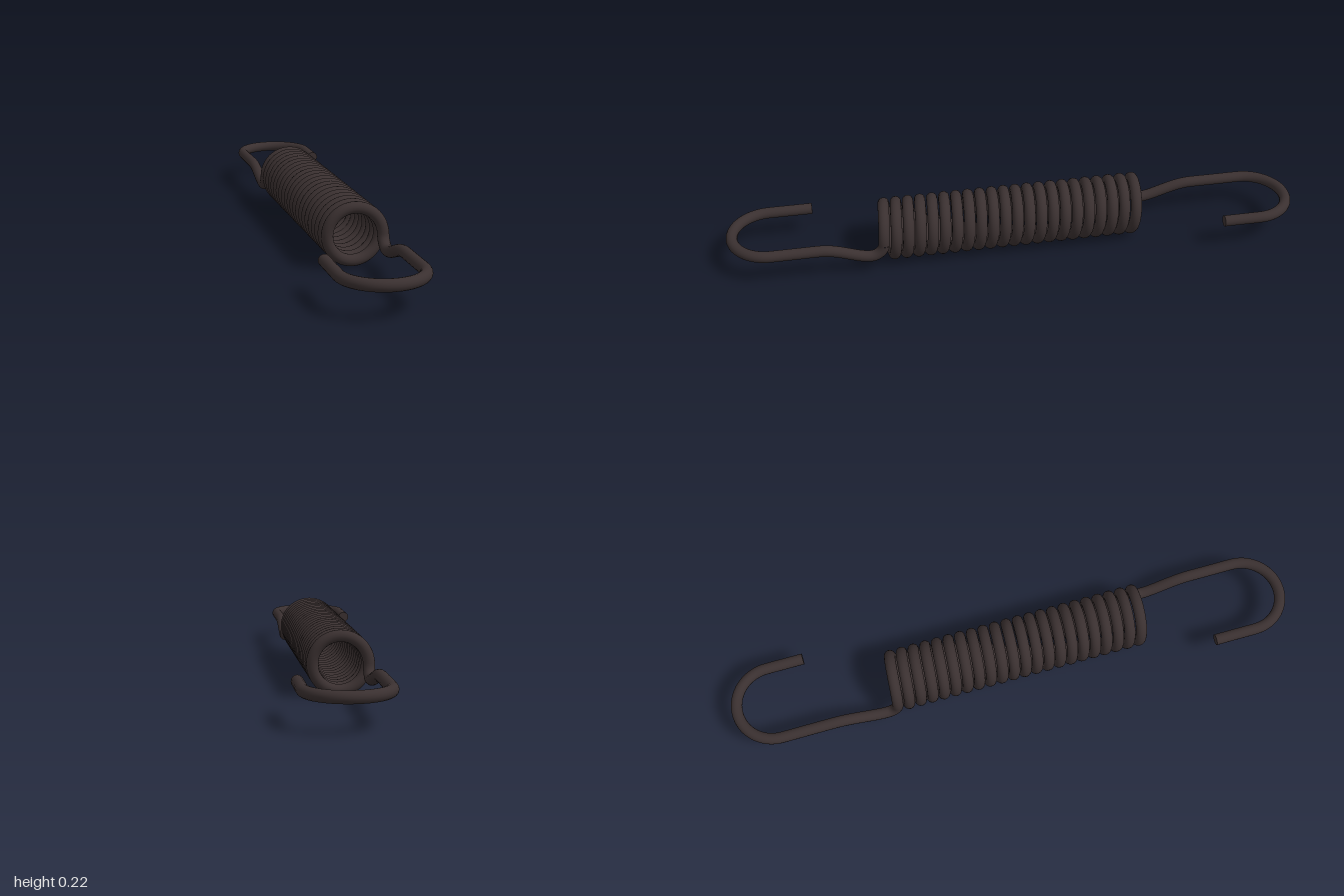
import * as THREE from 'three';

const WIRE = 0.0195;   // wire radius
const COIL = 0.09;     // mean coil radius
const AXIS = 0.1095;   // height of the coil axis
const BACK = -0.44, FRONT = 0.467, TURNS = 21.5;

// Helix running from the right at the back, over the top, to the left at the front
class Helix extends THREE.Curve {
  getPoint(t, target = new THREE.Vector3()) {
    const a = Math.PI - t * TURNS * Math.PI * 2;
    return target.set(COIL * Math.cos(a), AXIS + COIL * Math.sin(a), THREE.MathUtils.lerp(BACK, FRONT, t));
  }
}

// End hook: dips out of the last coil, rises to the axis, then bends round in a U
function hookCurve(start, dip, flat, tip) {
  const v = (y, z) => new THREE.Vector3(COIL, y, z);
  const low = 0.067, bend = 0.1295, bendZ = 0.851;
  const down = new THREE.CubicBezierCurve3(
    v(AXIS, start), v(0.086, start + 0.002), v(low, dip - 0.022), v(low, dip));
  const rise = new THREE.CubicBezierCurve3(
    v(low, dip), v(low, dip + 0.05), v(AXIS, flat - 0.07), v(AXIS, flat));
  const points = [...down.getPoints(10), ...rise.getPoints(14).slice(1), v(AXIS, (flat + bendZ) / 2)];
  for (let i = 0; i <= 24; i++) {
    const a = (i / 24) * Math.PI;
    points.push(new THREE.Vector3(COIL - bend + bend * Math.cos(a), AXIS, bendZ + bend * Math.sin(a)));
  }
  const endX = COIL - 2 * bend;
  points.push(new THREE.Vector3(endX, AXIS, (bendZ + tip) / 2), new THREE.Vector3(endX, AXIS, tip));
  return new THREE.CatmullRomCurve3(points, false, 'centripetal');
}

export function createModel() {
  const model = new THREE.Group();
  model.name = 'tensionSpring';
  const steel = new THREE.MeshStandardMaterial({ color: 0x3a3030 });
  steel.name = 'darkSteel';

  const coil = new THREE.Mesh(new THREE.TubeGeometry(new Helix(), 1032, WIRE, 16), steel);
  coil.name = 'coil';
  model.add(coil);

  const makeHook = (name, ...profile) => {
    const hook = new THREE.Group();
    hook.name = name;
    const curve = hookCurve(...profile);
    const wire = new THREE.Mesh(new THREE.TubeGeometry(curve, 160, WIRE, 16), steel);
    wire.name = name + 'Wire';
    // Flat cut end of the wire, facing back towards the coil
    const cap = new THREE.Mesh(new THREE.CircleGeometry(WIRE, 16), steel);
    cap.name = name + 'Tip';
    cap.position.copy(curve.getPoint(1));
    cap.rotation.y = Math.PI;
    hook.add(wire, cap);
    model.add(hook);
    return hook;
  };

  makeHook('frontHook', FRONT, 0.513, 0.69, 0.699);
  makeHook('backHook', -BACK, 0.48, 0.67, 0.718).rotation.y = Math.PI;
  return model;
}
